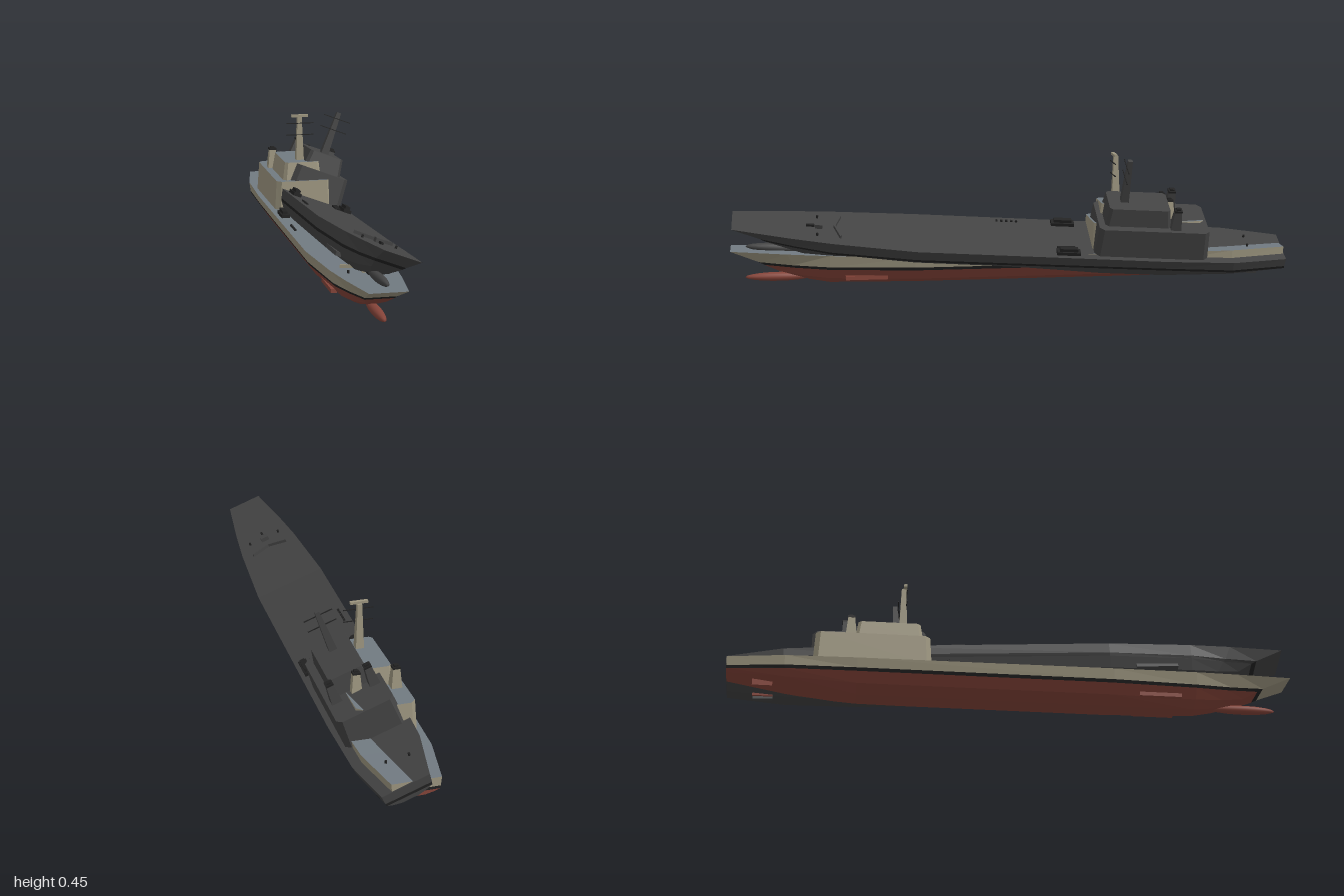
import * as THREE from 'three';

const mat = (name, color) => {
  const m = new THREE.MeshStandardMaterial({ color });
  m.name = name;
  return m;
};

// Hull stations, stern to bow. Rows run from deck edge to keel, each [half width, y, z].
const station = (z, ...rows) => rows.map(([w, y, zz = z]) => [w, y, zz]);
const STATIONS = [
  station(-1, [0.085, 0.102], [0.082, 0.07], [0.08, 0.06], [0.06, 0.052], [0.03, 0.045]),
  station(-0.8, [0.122, 0.1], [0.118, 0.066], [0.114, 0.055], [0.09, 0.034], [0.035, 0.02]),
  station(-0.55, [0.13, 0.1], [0.122, 0.066], [0.117, 0.055], [0.093, 0.02], [0.04, 0]),
  station(0.35, [0.13, 0.104], [0.122, 0.066], [0.117, 0.055], [0.093, 0.02], [0.04, 0]),
  station(0.65, [0.11, 0.113], [0.099, 0.07], [0.094, 0.06], [0.07, 0.025], [0.03, 0.003]),
  station(0.8, [0.093, 0.119], [0.075, 0.076, 0.78], [0.071, 0.066, 0.77], [0.052, 0.035, 0.75], [0.022, 0.014, 0.72]),
  station(1, [0.064, 0.128], [0.052, 0.086, 0.9], [0.049, 0.075, 0.88], [0.035, 0.05, 0.83], [0.015, 0.03, 0.78]),
];

const deckY = z => {
  const k = Math.max(1, STATIONS.findIndex(s => s[0][2] >= z));
  const a = STATIONS[k - 1][0], b = STATIONS[k][0];
  return a[1] + (b[1] - a[1]) * (z - a[2]) / (b[2] - a[2]);
};

function addMesh(parent, name, geometry, material, x = 0, y = 0, z = 0) {
  const m = new THREE.Mesh(geometry, material);
  m.name = name;
  m.position.set(x, y, z);
  parent.add(m);
  return m;
}

function quadMesh(parent, name, quads, material) {
  const pos = quads.flatMap(([a, b, c, d]) => [a, b, c, a, c, d].flat());
  const g = new THREE.BufferGeometry();
  g.setAttribute('position', new THREE.Float32BufferAttribute(pos, 3));
  g.computeVertexNormals();
  addMesh(parent, name, g, material);
}

// Hull strips between rows, closed by the transom and the raked bow plate
function buildHull(ship, c) {
  const p = (j, i, s) => [s * STATIONS[j][i][0], STATIONS[j][i][1], STATIONS[j][i][2]];
  const last = STATIONS.length - 1;
  const band = (from, to) => {
    const q = [];
    for (let i = from; i < to; i++) {
      for (let j = 0; j < last; j++) {
        q.push([p(j, i, 1), p(j + 1, i, 1), p(j + 1, i + 1, 1), p(j, i + 1, 1)]);
        q.push([p(j, i, -1), p(j, i + 1, -1), p(j + 1, i + 1, -1), p(j + 1, i, -1)]);
      }
      q.push([p(last, i, -1), p(last, i + 1, -1), p(last, i + 1, 1), p(last, i, 1)]);
      q.push([p(0, i, 1), p(0, i + 1, 1), p(0, i + 1, -1), p(0, i, -1)]);
    }
    return q;
  };
  const deck = [], keel = [];
  for (let j = 0; j < last; j++) {
    deck.push([p(j, 0, 1), p(j, 0, -1), p(j + 1, 0, -1), p(j + 1, 0, 1)]);
    keel.push([p(j + 1, 4, 1), p(j + 1, 4, -1), p(j, 4, -1), p(j, 4, 1)]);
  }
  quadMesh(ship, 'mainDeck', deck, c.deck);
  quadMesh(ship, 'topsides', band(0, 1), c.paint);
  quadMesh(ship, 'waterlineBand', band(1, 2), c.black);
  quadMesh(ship, 'underwaterHull', [...band(2, 4), ...keel], c.bottom);
}

// Deckhouse tier: chamfered plan, tapering upward; roof and walls take separate materials
function tier(parent, name, w, z0, z1, y0, y1, chamfer, taper, roof, wall) {
  const d = (z1 - z0) / 2, h = y1 - y0, k = chamfer;
  const shape = new THREE.Shape([[w - k, -d], [w, k - d], [w, d - k], [w - k, d],
    [k - w, d], [-w, d - k], [-w, k - d], [k - w, -d]].map(v => new THREE.Vector2(...v)));
  const g = new THREE.ExtrudeGeometry(shape, { depth: h, bevelEnabled: false });
  const a = g.attributes.position;
  for (let i = 0; i < a.count; i++) {
    if (a.getZ(i) > h / 2) a.setXY(i, a.getX(i) * (1 - taper / w), a.getY(i) * (1 - taper / d));
  }
  g.rotateX(-Math.PI / 2);
  g.computeVertexNormals();
  addMesh(parent, name, g, [roof, wall], 0, y0, (z0 + z1) / 2);
}

// Four-sided tapering post
function post(w0, w1, h) {
  const g = new THREE.CylinderGeometry(w1 * Math.SQRT2, w0 * Math.SQRT2, h, 4, 1).toNonIndexed();
  g.rotateY(Math.PI / 4);
  g.computeVertexNormals();
  return g;
}

function buildShip(name, c, radar) {
  const ship = new THREE.Group();
  ship.name = name;
  const box = (n, w, h, d, m, x, y, z) => addMesh(ship, n, new THREE.BoxGeometry(w, h, d), m, x, y, z);
  buildHull(ship, c);

  // Bulbous bow
  const bulb = addMesh(ship, 'bowBulb', new THREE.SphereGeometry(1, 16, 10), c.bottom, 0, 0.022, 0.83);
  bulb.scale.set(0.018, 0.016, 0.12);

  // Deckhouse
  tier(ship, 'lowerDeckhouse', 0.11, -0.705, -0.29, 0.095, 0.207, 0.018, 0.007, c.deck, c.paint);
  tier(ship, 'bridge', 0.075, -0.56, -0.32, 0.207, 0.272, 0.012, 0.01, c.deck, c.paint);

  // Mast with yardarms
  addMesh(ship, 'mast', post(0.0145, 0.008, 0.166), c.paint, 0, 0.353, -0.39);
  for (const y of [0.368, 0.412]) box('yardarm', 0.106, 0.003, 0.003, c.black, 0, y, -0.38);
  if (radar) box('radarBar', 0.063, 0.009, 0.012, c.paint, 0, 0.44, -0.385);

  for (const s of [-1, 1]) {
    // Funnels with dark caps
    addMesh(ship, 'funnel', post(0.019, 0.012, 0.075), c.paint, s * 0.07, 0.243, -0.575);
    box('funnelCap', 0.027, 0.007, 0.027, c.black, s * 0.07, 0.28, -0.575);
    box('exhaust', 0.015, 0.006, 0.015, c.black, s * 0.07, 0.286, -0.575);
    // Deck boats beside the deckhouse
    box('boatCradle', 0.03, 0.012, 0.085, c.black, s * 0.1, 0.108, -0.195);
    box('boat', 0.018, 0.012, 0.065, c.black, s * 0.1, 0.119, -0.195);
    // Rudders and bilge fins
    box('rudder', 0.01, 0.032, 0.07, c.bottom, s * 0.045, 0.031, -0.875);
    box('bilgeFin', 0.02, 0.014, 0.15, c.bottom, s * 0.085, 0.028, 0.52);
    // Breakwater
    const wall = box('breakwater', 0.075, 0.012, 0.006, c.paint, s * 0.034, deckY(0.63) + 0.005, 0.628);
    wall.rotation.y = s * 0.3;
    // Bollards
    for (const z of [-0.87, 0.7]) {
      addMesh(ship, 'bollard', new THREE.CylinderGeometry(0.004, 0.004, 0.01, 8), c.black,
        s * 0.06, deckY(z) + 0.005, z);
    }
  }
  // Anchor winch
  box('winch', 0.03, 0.016, 0.026, c.paint, 0, deckY(0.7) + 0.007, 0.695);
  box('winchChain', 0.008, 0.008, 0.03, c.black, 0, deckY(0.72) + 0.004, 0.725);
  // Vents along the side deck
  for (let i = 0; i < 5; i++) box('vent', 0.008, 0.006, 0.008, c.black, -0.105, 0.105, -0.025 + i * 0.018);
  return ship;
}

export function createModel() {
  const black = mat('black', 0x222222);
  const charcoal = mat('charcoal', 0x434343);
  const painted = {
    black, deck: mat('deckGrey', 0x717a81), paint: mat('beige', 0x9c957f), bottom: mat('redOxide', 0x854439),
  };
  const dark = { black, deck: charcoal, paint: charcoal, bottom: charcoal };

  const model = new THREE.Group();
  model.name = 'twoShips';
  const level = buildShip('levelShip', painted, true);
  level.position.set(-0.0375, 0, 0);
  // Second hull, heeled over with the bow raised
  const heeled = buildShip('heeledShip', dark, false);
  heeled.position.set(-0.036, 0.058, 0);
  heeled.rotation.set(-0.061, 0, -0.367);
  model.add(level, heeled);
  return model;
}
